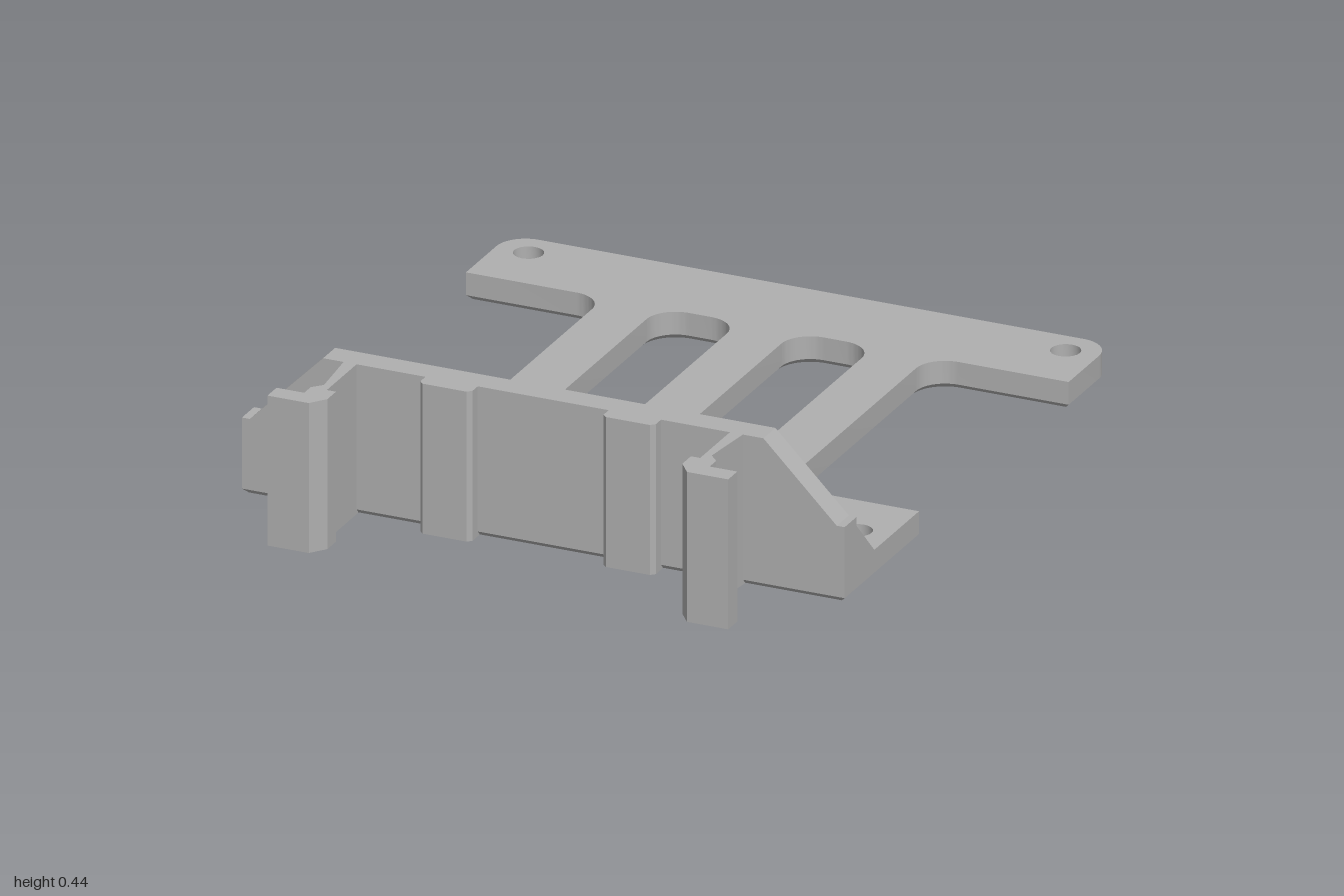
import * as THREE from 'three';
import { toCreasedNormals } from 'three/addons/utils/BufferGeometryUtils.js';

const HALF = 0.883;      // half width of the bracket
const THICK = 0.08;      // plate thickness
const HEIGHT = 0.435;    // wall and clip height
const CHAMFER = 0.014;   // chamfer around the underside
const FRONT = 0.71;      // front face of the wall
const BACK = 0.633;      // rear face of the wall

const polygon = (pts) => new THREE.Shape(pts.map(([x, y]) => new THREE.Vector2(x, y)));

// Extrude a plan shape (x, z) upward from y0 to y1
function upright(shape, y0, y1) {
  const g = new THREE.ExtrudeGeometry(shape, { depth: y1 - y0, bevelEnabled: false, curveSegments: 10 });
  g.rotateX(Math.PI / 2).translate(0, y1, 0);
  return toCreasedNormals(g, 0.5);
}

// Slot with rounded corners
function slot(x0, x1, z0, z1, r) {
  const p = new THREE.Path(), P = Math.PI;
  p.absarc(x0 + r, z0 + r, r, P, 1.5 * P);
  p.absarc(x1 - r, z0 + r, r, 1.5 * P, 2 * P);
  p.absarc(x1 - r, z1 - r, r, 0, 0.5 * P);
  p.absarc(x0 + r, z1 - r, r, 0.5 * P, P);
  p.closePath();
  return p;
}

// Plan of the base plate: two wide bars joined by three struts
function platePlan() {
  const P = Math.PI, r = 0.085, w = 0.475, zA = -0.72, zB = 0.235;
  const s = new THREE.Shape();
  s.moveTo(-HALF, FRONT);
  s.lineTo(HALF, FRONT);
  s.lineTo(HALF, zB);
  s.absarc(w + r, zB - r, r, 0.5 * P, P, false);
  s.absarc(w + r, zA + r, r, P, 1.5 * P, false);
  s.lineTo(HALF, zA);
  s.absarc(HALF - r, -1 + r, r, 0, -0.5 * P, true);
  s.absarc(-HALF + r, -1 + r, r, -0.5 * P, -P, true);
  s.lineTo(-HALF, zA);
  s.absarc(-w - r, zA + r, r, -0.5 * P, 0, false);
  s.absarc(-w - r, zB - r, r, 0, 0.5 * P, false);
  s.lineTo(-HALF, zB);
  s.closePath();
  for (const side of [-1, 1]) {
    const a = side * 0.08, b = side * 0.315;
    s.holes.push(slot(Math.min(a, b), Math.max(a, b), zA, zB, r));
    for (const z of [-0.91, 0.42]) {
      const hole = new THREE.Path();
      hole.absarc(side * 0.787, z, 0.042, 0, 2 * P);
      s.holes.push(hole);
    }
  }
  return s;
}

export function createModel() {
  const group = new THREE.Group();
  const grey = new THREE.MeshStandardMaterial({ color: 0xb0b0b0 });
  grey.name = 'grey plastic';
  const add = (name, geometry) => {
    const mesh = new THREE.Mesh(geometry, grey);
    mesh.name = name;
    group.add(mesh);
  };

  // Base plate, with a chamfered layer beneath it
  const plan = platePlan();
  add('basePlate', upright(plan, CHAMFER, THICK));
  const under = new THREE.ExtrudeGeometry(plan, {
    depth: 0.001, bevelEnabled: true, bevelSegments: 1, bevelThickness: CHAMFER,
    bevelSize: CHAMFER, bevelOffset: -CHAMFER, curveSegments: 10,
  });
  under.rotateX(Math.PI / 2).translate(0, CHAMFER + 0.001, 0);
  add('plateUnderside', toCreasedNormals(under, 0.5));

  // Upright front wall with sloping shoulders
  const wall = new THREE.ExtrudeGeometry(polygon([
    [-HALF, CHAMFER], [HALF, CHAMFER], [HALF, 0.22], [0.86, 0.22], [0.645, HEIGHT],
    [-0.645, HEIGHT], [-0.86, 0.22], [-HALF, 0.22],
  ]), { depth: FRONT - BACK, bevelEnabled: false });
  add('frontWall', wall.translate(0, 0, BACK));

  // Sloping fillet between the plate and the wall
  const fillet = new THREE.ExtrudeGeometry(polygon([
    [0.52, THICK], [BACK + 0.02, THICK], [BACK + 0.02, 0.193], [BACK, 0.193],
  ]), { depth: 2 * HALF, bevelEnabled: false });
  add('wallFillet', fillet.rotateY(-Math.PI / 2).translate(HALF, 0, 0));

  // Spacer ribs and hooked spring clips, mirrored
  const rib = [[0.192, 0.7], [0.345, 0.7], [0.345, 0.743], [0.333, 0.755], [0.204, 0.755], [0.192, 0.743]];
  const clip = [
    [0.547, 0.7], [0.586, 0.7], [0.568, 0.872], [0.594, 0.9], [0.594, 0.942], [0.675, 0.942],
    [0.675, 1], [0.554, 1], [0.52, 0.955], [0.52, 0.9], [0.547, 0.9],
  ];
  for (const [label, side] of [['left', 1], ['right', -1]]) {
    const mirror = (pts) => polygon(pts.map(([x, z]) => [side * x, z]));
    add(label + 'Rib', upright(mirror(rib), 0, HEIGHT));
    add(label + 'Clip', upright(mirror(clip), 0, HEIGHT));
  }
  return group;
}
